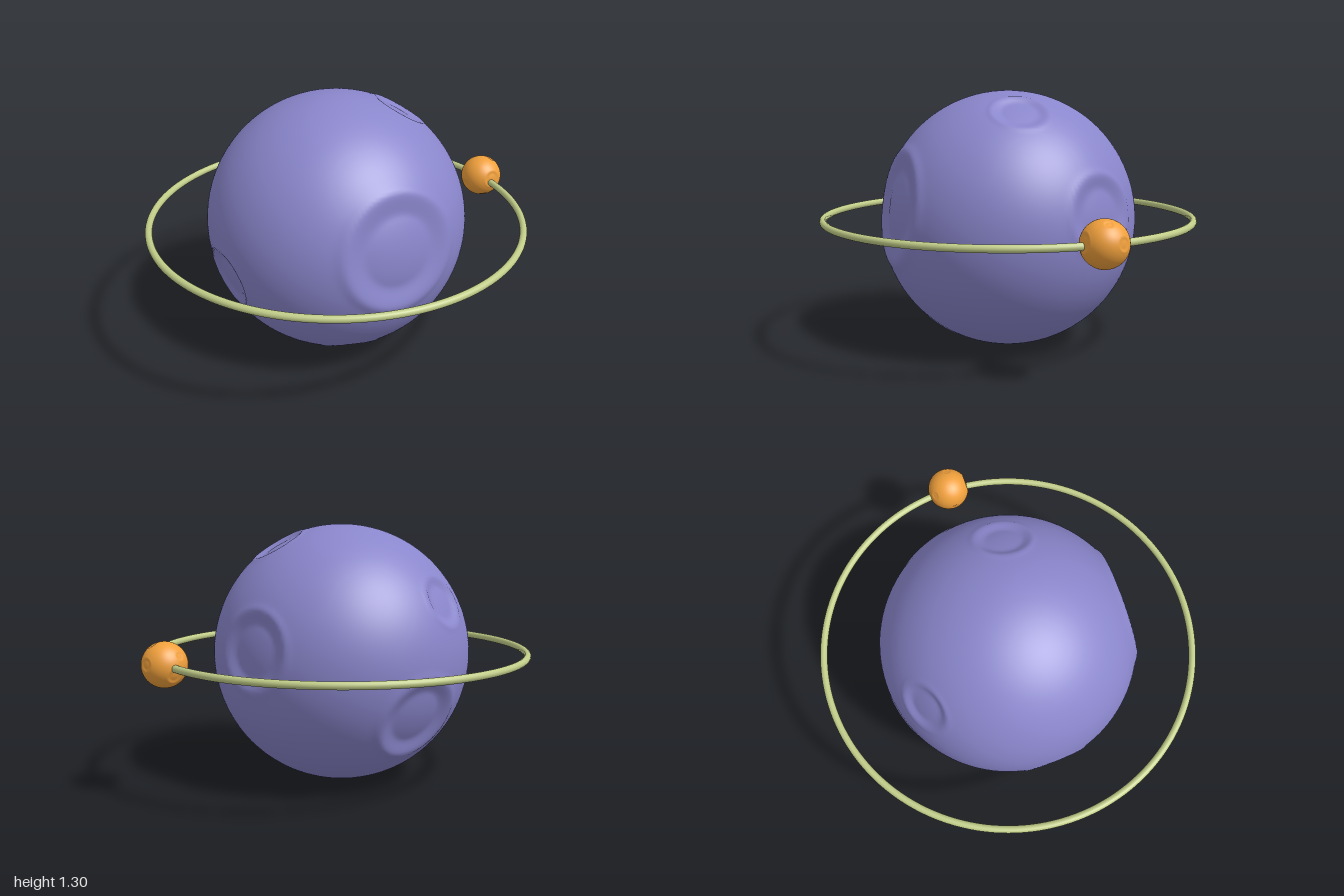
import * as THREE from 'three';
import { mergeVertices } from 'three/addons/utils/BufferGeometryUtils.js';

const RADIUS = 0.648;
const CENTRE_X = -0.047;
const CENTRE_Y = 0.65;

// Craters: direction from the centre and angular radius
const craters = [
  [-0.117, 0.14, 0.98, 0.44],    // front
  [0.96, 0.115, -0.245, 0.305],  // left side
  [0.477, 0.862, 0.175, 0.215],  // top
  [-0.34, 0.45, -0.825, 0.205],  // upper back
  [-0.06, -0.4, -0.915, 0.335],  // lower back
  [-0.97, -0.235, -0.04, 0.24],  // right side
  [-0.214, -0.855, 0.47, 0.21],  // underside
].map(([x, y, z, angle]) => ({ dir: new THREE.Vector3(x, y, z).normalize(), angle }));

// Surface offset: sunken floor, smooth wall and a faint raised rim
function craterOffset(direction) {
  let offset = 0;
  for (const { dir, angle } of craters) {
    const t = direction.angleTo(dir) / angle;
    if (t > 1.5) continue;
    const floor = 1 - THREE.MathUtils.smoothstep(t, 0.62, 1);
    const rim = Math.exp(-(((t - 1.02) / 0.1) ** 2));
    offset += angle * (-0.09 * floor + 0.014 * rim);
  }
  return offset;
}

// Sphere with craters pressed in, welded for seamless smooth normals
function crateredSphere(widthSegments, heightSegments) {
  let geometry = new THREE.SphereGeometry(RADIUS, widthSegments, heightSegments);
  geometry.deleteAttribute('uv');
  geometry.deleteAttribute('normal');
  geometry = mergeVertices(geometry, 1e-5);
  const position = geometry.attributes.position;
  const v = new THREE.Vector3();
  for (let i = 0; i < position.count; i++) {
    v.fromBufferAttribute(position, i).normalize();
    v.multiplyScalar(RADIUS + craterOffset(v));
    position.setXYZ(i, v.x, v.y, v.z);
  }
  geometry.computeVertexNormals();
  return geometry;
}

function addMesh(group, name, geometry, color, x, y, z) {
  const mesh = new THREE.Mesh(geometry, new THREE.MeshStandardMaterial({ color }));
  mesh.name = name;
  mesh.position.set(x, y, z);
  group.add(mesh);
  return mesh;
}

export function createModel() {
  const group = new THREE.Group();
  group.name = 'ringedPlanet';

  addMesh(group, 'planet', crateredSphere(200, 140), 0x8a86cc, CENTRE_X, CENTRE_Y, 0);

  // Thin orbit ring lying flat around the planet
  const ring = new THREE.TorusGeometry(0.934, 0.018, 16, 160).rotateX(Math.PI / 2);
  addMesh(group, 'orbitRing', ring, 0xc0cc88, CENTRE_X, 0.657, 0);

  // Small moon threaded on the ring, a scaled copy of the planet's shape
  const moon = addMesh(group, 'moon', crateredSphere(96, 64), 0xf0a03c, 0.891, 0.662, 0.078);
  moon.scale.setScalar(0.108 / RADIUS);

  return group;
}
